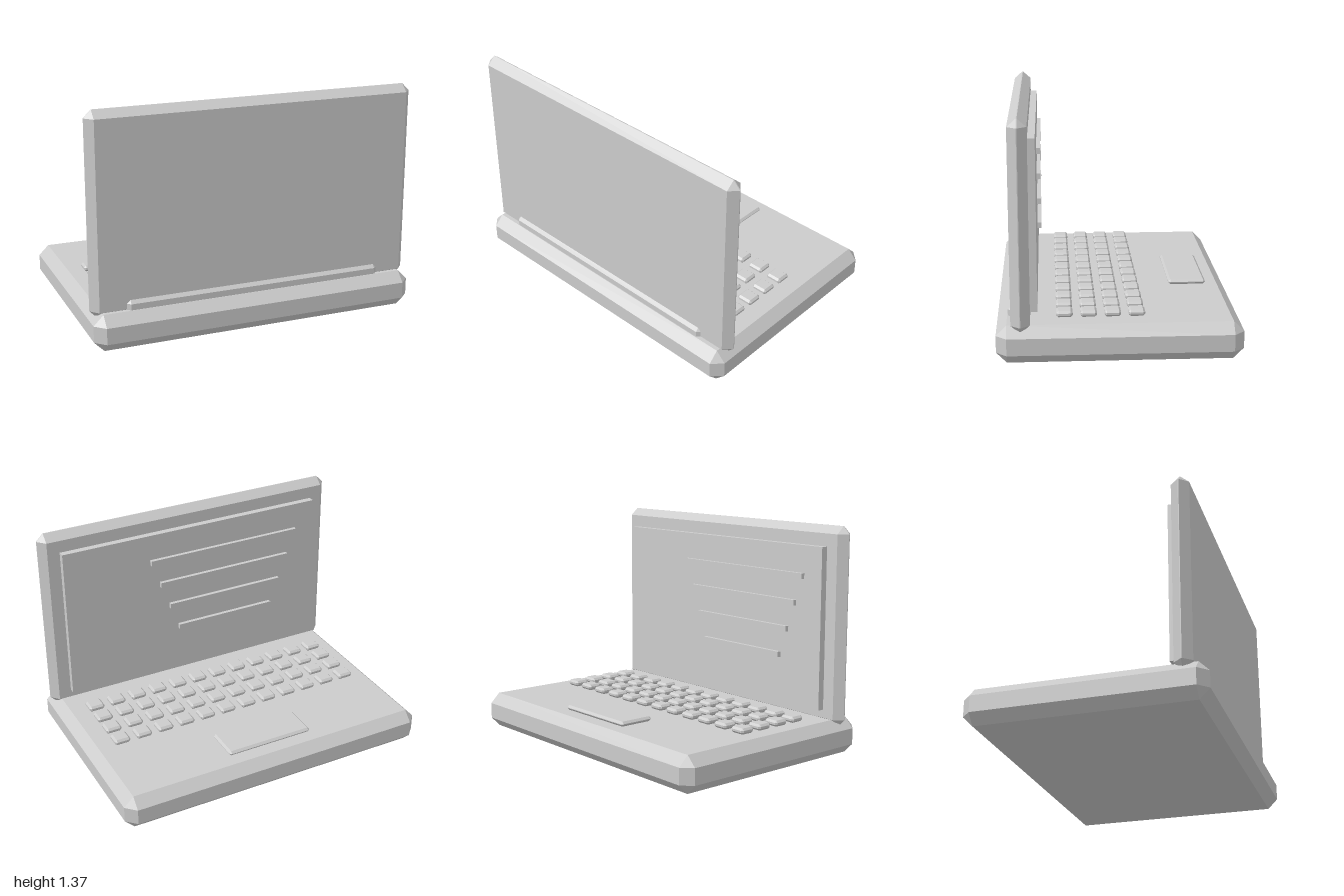
import * as THREE from 'three';
import { ConvexGeometry } from 'three/addons/geometries/ConvexGeometry.js';

const material = new THREE.MeshStandardMaterial({ color: 0xcccccc, flatShading: true });

// Box with every edge and corner cut off; c is the cut along x, y and z
function chamferBox(w, h, d, cx, cy = cx, cz = cx) {
  const points = [];
  for (const sx of [-1, 1]) for (const sy of [-1, 1]) for (const sz of [-1, 1]) {
    const x = w / 2, y = h / 2, z = d / 2;
    points.push(
      new THREE.Vector3(sx * x, sy * (y - cy), sz * (z - cz)),
      new THREE.Vector3(sx * (x - cx), sy * y, sz * (z - cz)),
      new THREE.Vector3(sx * (x - cx), sy * (y - cy), sz * z)
    );
  }
  return new ConvexGeometry(points);
}

function add(parent, name, geometry, x, y, z) {
  const mesh = new THREE.Mesh(geometry, material);
  mesh.name = name;
  mesh.position.set(x, y, z);
  parent.add(mesh);
  return mesh;
}

export function createModel() {
  const model = new THREE.Group();
  model.name = 'laptop';

  // Base slab and hinge bar behind the lid
  add(model, 'base', chamferBox(2, 0.218, 1.384, 0.06), 0, 0.109, 0);
  add(model, 'hinge', chamferBox(1.59, 0.1, 0.1, 0.02), 0, 0.224, 0.578);

  // Upright lid with the screen facing the keyboard
  const lid = new THREE.Group();
  lid.name = 'lid';
  model.add(lid);
  add(lid, 'lidShell', chamferBox(2, 1.197, 0.107, 0.045, 0.045, 0.051), 0, 0.7735, 0.555);
  add(lid, 'screen', new THREE.BoxGeometry(1.754, 0.98, 0.05), 0, 0.76, 0.485);

  // Raised lines on the screen, shorter towards the bottom
  for (let i = 0; i < 4; i++) {
    const length = 1.045 - i * 0.1225;
    add(lid, 'screenLine', new THREE.BoxGeometry(length, 0.034, 0.03), -0.217, 1.067 - i * 0.167, 0.451);
  }

  // Keyboard: four rows of twelve keys
  const keyboard = new THREE.Group();
  keyboard.name = 'keyboard';
  model.add(keyboard);
  const keyGeometry = chamferBox(0.1, 0.036, 0.093, 0.012);
  for (let row = 0; row < 4; row++)
    for (let col = 0; col < 12; col++)
      add(keyboard, 'key', keyGeometry, -0.805 + col * 0.145, 0.238, 0.309 - row * 0.136);

  add(model, 'trackpad', chamferBox(0.556, 0.03, 0.226, 0.013), 0, 0.235, -0.447);

  return model;
}
